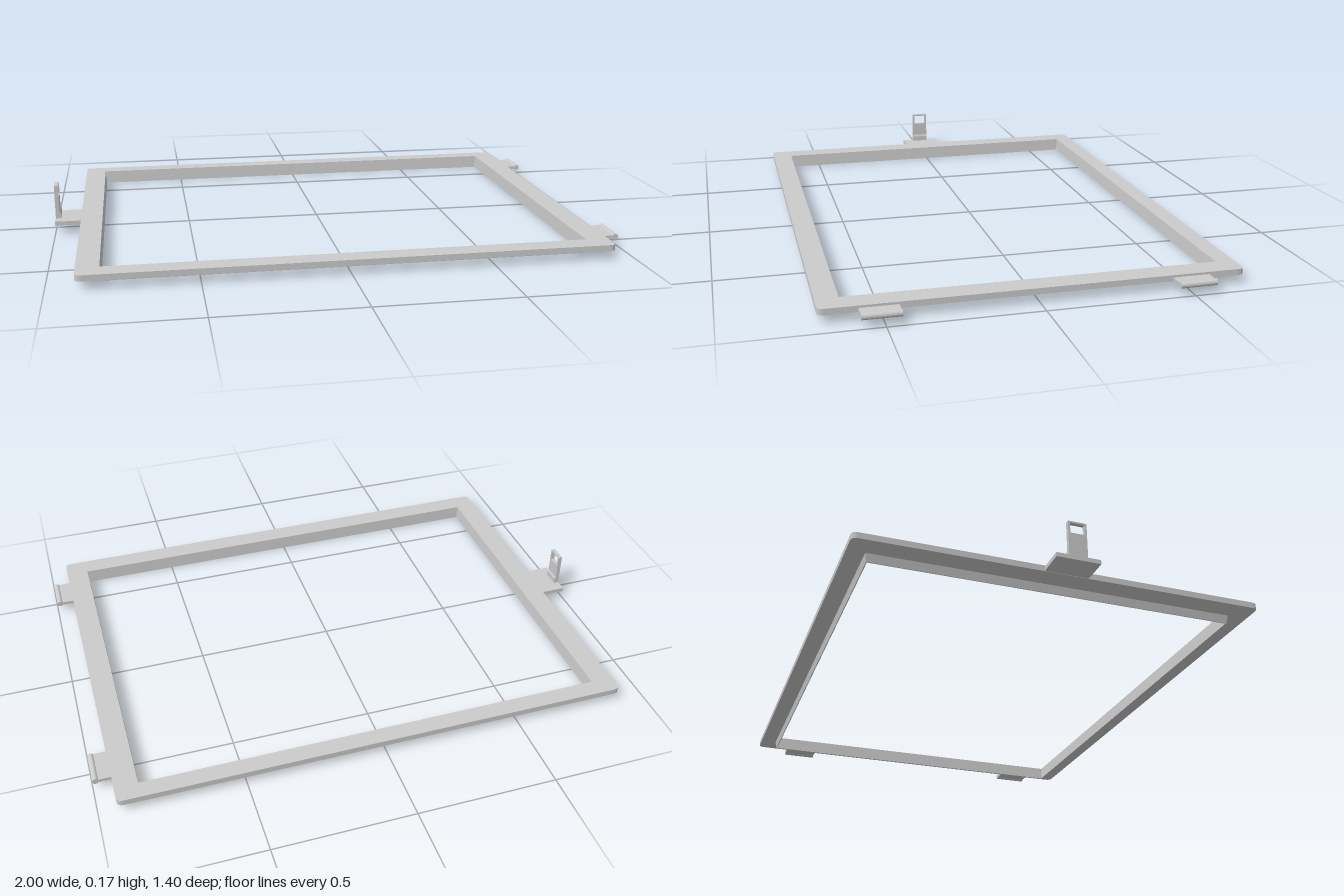
import * as THREE from 'three';

const material = new THREE.MeshStandardMaterial({ color: 0xcccccc, flatShading: true, side: THREE.DoubleSide });

function add(parent, name, geometry, x = 0, y = 0, z = 0) {
  const mesh = new THREE.Mesh(geometry, material);
  mesh.name = name;
  mesh.position.set(x, y, z);
  parent.add(mesh);
  return mesh;
}

// Box given by its two extreme corners
function block(parent, name, [x0, y0, z0], [x1, y1, z1]) {
  return add(parent, name, new THREE.BoxGeometry(x1 - x0, y1 - y0, z1 - z0),
    (x0 + x1) / 2, (y0 + y1) / 2, (z0 + z1) / 2);
}

// Rectangle with rounded corners of radius r
function rectangle(Type, x0, y0, x1, y1, r = 0) {
  const s = new Type();
  if (!r) {
    s.moveTo(x0, y0).lineTo(x1, y0).lineTo(x1, y1).lineTo(x0, y1);
  } else {
    s.moveTo(x0 + r, y0).lineTo(x1 - r, y0).quadraticCurveTo(x1, y0, x1, y0 + r);
    s.lineTo(x1, y1 - r).quadraticCurveTo(x1, y1, x1 - r, y1);
    s.lineTo(x0 + r, y1).quadraticCurveTo(x0, y1, x0, y1 - r);
    s.lineTo(x0, y0 + r).quadraticCurveTo(x0, y0, x0 + r, y0);
  }
  s.closePath();
  return s;
}

// Four-sided wall ring; each section is [inset, y] and the loop closes on itself
function wallRing(x0, z0, x1, z1, section) {
  const points = [], index = [], n = section.length;
  for (const [sx, sz] of [[0, 0], [1, 0], [1, 1], [0, 1]]) {
    for (const [inset, y] of section) {
      points.push(sx ? x1 - inset : x0 + inset, y, sz ? z1 - inset : z0 + inset);
    }
  }
  for (let c = 0; c < 4; c++) {
    for (let i = 0; i < n; i++) {
      const j = (i + 1) % n, d = (c + 1) % 4;
      const a = c * n + i, b = c * n + j, e = d * n + i, f = d * n + j;
      index.push(a, b, e, b, f, e);
    }
  }
  const g = new THREE.BufferGeometry();
  g.setAttribute('position', new THREE.Float32BufferAttribute(points, 3));
  g.setIndex(index);
  const flat = g.toNonIndexed();
  flat.computeVertexNormals();
  return flat;
}

export function createModel() {
  const model = new THREE.Group();
  model.name = 'latchingFrame';

  // Flat frame with a rectangular opening
  const outline = rectangle(THREE.Shape, -0.905, -0.7, 0.935, 0.7, 0.02);
  outline.holes.push(rectangle(THREE.Path, -0.83, -0.628, 0.858, 0.64));
  const frame = new THREE.ExtrudeGeometry(outline, { depth: 0.021, bevelEnabled: false, curveSegments: 4 });
  frame.rotateX(-Math.PI / 2);
  add(model, 'framePlate', frame, 0, 0.029, 0);

  // Thin tapering lip hanging below the opening
  add(model, 'innerLip', wallRing(-0.83, -0.64, 0.858, 0.628,
    [[0, 0.03], [0.005, 0], [0.008, 0], [0.004, 0.05], [0, 0.05]]));

  // Two hinge tabs with rolled ends
  for (const side of [-1, 1]) {
    const hinge = new THREE.Group();
    hinge.name = side > 0 ? 'frontHinge' : 'backHinge';
    hinge.position.z = side * 0.512;
    model.add(hinge);
    block(hinge, 'hingeTab', [0.93, 0.031, -0.063], [0.988, 0.042, 0.063]);
    const pin = new THREE.CylinderGeometry(0.011, 0.011, 0.126, 16);
    pin.rotateX(Math.PI / 2);
    add(hinge, 'hingePin', pin, 0.988, 0.0365, 0);
  }

  // Latch: base tab, upright strap with a window, small foot gusset
  const latch = new THREE.Group();
  latch.name = 'latch';
  model.add(latch);
  block(latch, 'latchTab', [-1, 0.03, -0.076], [-0.9, 0.045, 0.076]);

  const strap = rectangle(THREE.Shape, -0.032, 0.04, 0.032, 0.17);
  strap.holes.push(rectangle(THREE.Path, -0.025, 0.127, 0.025, 0.164));
  const strapGeometry = new THREE.ExtrudeGeometry(strap, { depth: 0.015, bevelEnabled: false });
  strapGeometry.rotateY(Math.PI / 2);
  add(latch, 'latchStrap', strapGeometry, -0.999, 0, 0);

  const foot = new THREE.Shape();
  foot.moveTo(-0.985, 0.045).lineTo(-0.98, 0.045).lineTo(-0.98, 0.065).lineTo(-0.985, 0.075).closePath();
  add(latch, 'latchFoot', new THREE.ExtrudeGeometry(foot, { depth: 0.064, bevelEnabled: false }), 0, 0, -0.032);

  return model;
}
